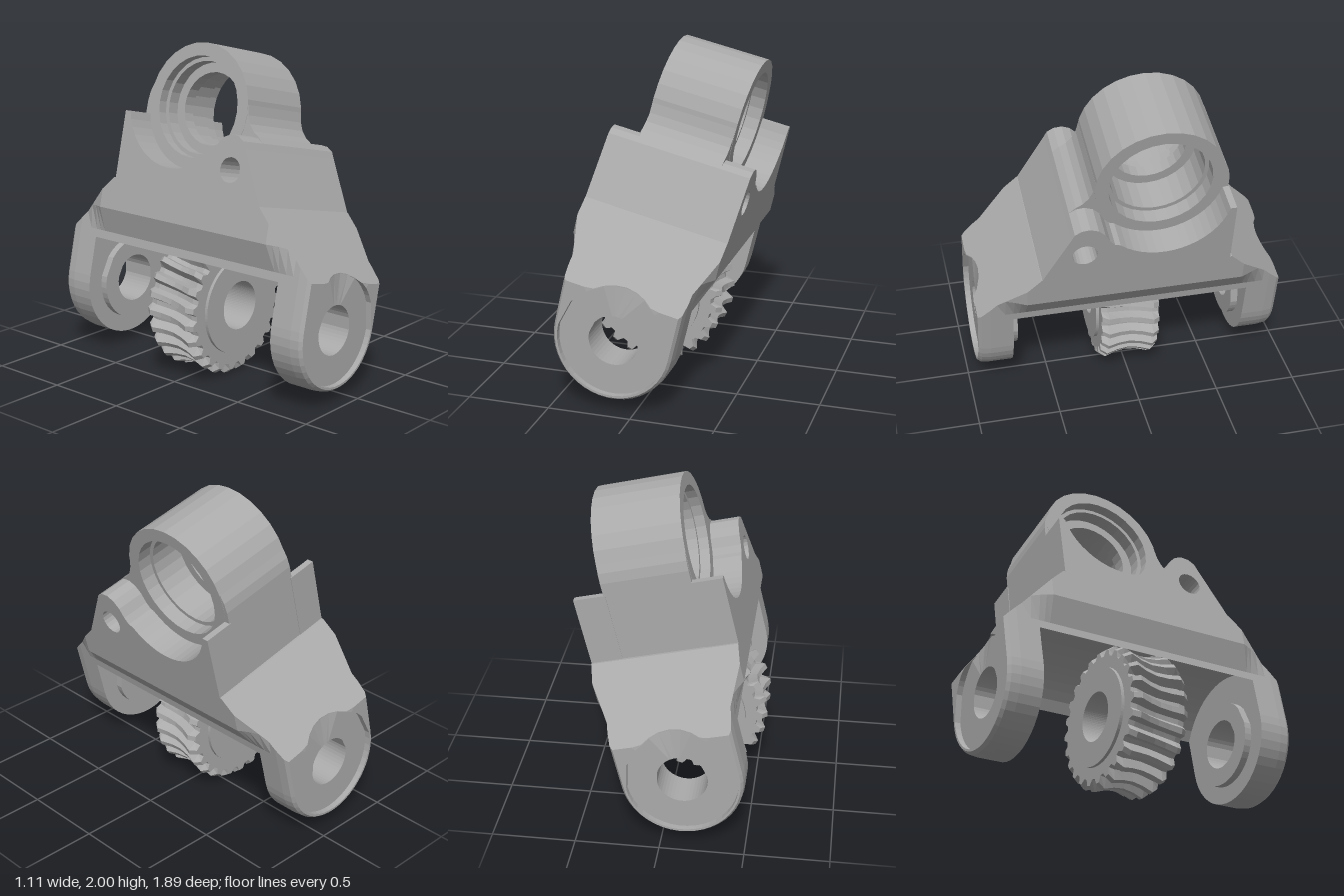
import * as THREE from 'three';

const grey = new THREE.MeshStandardMaterial({ color: 0xaaaaaa });
grey.name = 'metalGrey';

// Mesh with crisp facets
function part(name, geometry) {
  const g = geometry.index ? geometry.toNonIndexed() : geometry;
  g.computeVertexNormals();
  const mesh = new THREE.Mesh(g, grey);
  mesh.name = name;
  return mesh;
}

// Skin over loops of equal point count; counter-clockwise loops advancing to +z face outward
function loft(loops) {
  const n = loops[0].length, index = [];
  for (let i = 0; i < loops.length - 1; i++) {
    for (let j = 0; j < n; j++) {
      const a = i * n + j, b = i * n + (j + 1) % n;
      index.push(a, b, b + n, a, b + n, a + n);
    }
  }
  const g = new THREE.BufferGeometry();
  g.setAttribute('position', new THREE.Float32BufferAttribute(loops.flat(2), 3));
  g.setIndex(index);
  return g;
}

const clamp01 = (t) => Math.min(1, Math.max(0, t));
const scaleTo = ([x, y], r, z) => {
  const k = r / Math.hypot(x, y);
  return [x * k, y * k, z];
};

// Body shape rules: roof height and half width
const roof = (z) => Math.min(0.65, 1.225 - Math.abs(z));
const halfWidth = (y, z) =>
  0.365 + 0.075 * Math.min(clamp01((y - 0.3) / 0.15), clamp01((0.83 - Math.abs(z)) / 0.17));

// Right side, roof and left side of a section, after its bottom edge
function upperOutline(z, startY, inset = 0) {
  const top = roof(z);
  const side = [startY, 0.3, 0.45, top].map((y) => {
    const v = Math.min(y, top);
    return [halfWidth(v, z) - inset, v, z];
  });
  const w = side[3][0], across = [];
  for (let i = 1; i < 12; i++) across.push([w * (1 - i / 6), top, z]);
  return [...side, ...across, ...side.slice().reverse().map(([x, y]) => [-x, y, z])];
}

// Arm section: round bottom, with the roof scalloped by the recess
function armOutline(z, inset = 0) {
  const pts = [], r = 0.365 - inset;
  for (let i = 0; i <= 22; i++) {
    const a = Math.PI * (1 + i / 22);
    pts.push([r * Math.cos(a), r * Math.sin(a), z]);
  }
  pts.push(...upperOutline(z, 0.2, inset));
  return pts.map((p) => {
    if (Math.hypot(p[0], p[1]) >= 0.335) return p;
    const q = scaleTo(p, 0.335, z);
    q[2] = Math.min(z, 1.225 - q[1]);
    return q;
  });
}

function armGeometry() {
  const base = armOutline(0.73), end = armOutline(0.945, 0.022);
  const ring = (r, z) => base.map((p) => scaleTo(p, r, z));
  return loft([
    ring(0.15, 0.685), ring(0.26, 0.685), ring(0.26, 0.73), // inner boss
    base, armOutline(0.78), armOutline(0.83), armOutline(0.87),
    armOutline(0.925, 0.007), end,
    end.map((p) => scaleTo(p, 0.33, p[2])), // recess
    end.map((p) => scaleTo(p, 0.33, Math.min(0.91, p[2]))),
    ring(0.15, 0.91), ring(0.15, 0.685),
  ]);
}

// Bridge section: arched underside clearing the wheel
function bridgeOutline(z) {
  const pts = [];
  for (let i = 0; i <= 16; i++) {
    const x = 0.365 * (i / 8 - 1);
    pts.push([x, Math.sqrt(0.442 ** 2 - x * x), z]);
  }
  return [...pts, ...upperOutline(z, 0.27)];
}

// Profile in (z, y) extruded from x0 to x1
function panel(points, x0, x1, hole) {
  const shape = new THREE.Shape(points.map(([z, y]) => new THREE.Vector2(z, y)));
  if (hole) shape.holes.push(new THREE.Path().absarc(hole[0], hole[1], hole[2], 0, Math.PI * 2, true));
  return new THREE.ExtrudeGeometry(shape, { depth: x1 - x0, bevelEnabled: false, curveSegments: 10 })
    .rotateY(-Math.PI / 2).translate(x1, 0, 0);
}

const RZ = -0.145, RY = 1.153; // collar centre
function collarArc(r, fromDeg, toDeg, steps) {
  const pts = [];
  for (let i = 0; i <= steps; i++) {
    const a = THREE.MathUtils.degToRad(fromDeg + (toDeg - fromDeg) * i / steps);
    pts.push([RZ + r * Math.cos(a), RY + r * Math.sin(a)]);
  }
  return pts;
}

// Worm wheel with throated, slightly helical teeth
function wheelGeometry() {
  const teeth = 24, n = teeth * 4;
  const loop = (z, tip, root) => Array.from({ length: n }, (_, j) => {
    const k = j % 4, t = Math.floor(j / 4) + [0, 0.3, 0.5, 0.8][k];
    const a = t / teeth * Math.PI * 2 + z * 0.35, r = k < 2 ? tip : root;
    return [r * Math.cos(a), r * Math.sin(a), z];
  });
  const ring = (r, z) => loop(z, r, r);
  const stations = [
    [-0.18, 0.405, 0.37], [-0.14, 0.435, 0.375], [-0.07, 0.413, 0.36], [0, 0.404, 0.352],
    [0.07, 0.413, 0.36], [0.14, 0.435, 0.375], [0.18, 0.405, 0.37],
  ];
  return loft([
    ring(0.15, -0.2), ring(0.3, -0.2), ring(0.3, -0.18),
    ...stations.map((s) => loop(...s)),
    ring(0.3, 0.18), ring(0.3, 0.2), ring(0.15, 0.2), ring(0.15, -0.2),
  ]);
}

export function createModel() {
  const model = new THREE.Group();
  model.name = 'wormGearBracket';
  const tilted = new THREE.Group();
  tilted.name = 'tiltedBracket';
  tilted.position.set(-0.125, 0.437, 0);
  tilted.rotation.z = -0.232;
  model.add(tilted);

  // Arched bridge and the two pivot arms
  const stations = [-0.73, -0.695, -0.66, -0.575, 0.575, 0.66, 0.695, 0.73];
  tilted.add(part('bridge', loft(stations.map(bridgeOutline))));
  tilted.add(part('frontArm', armGeometry()));
  tilted.add(part('backArm', armGeometry().rotateY(Math.PI)));

  // Outer cheeks with a drilled lug and a cradle below the collar
  const cheek = [
    [-0.563, 0.645], [0.575, 0.645], [0.41, 0.96], [0.39, 1.0], [0.35, 1.025], [0.3, 1.03],
    [0.25, 1.01], [0.21, 0.97], [0.18, 0.915], [0.15, 0.88],
    ...collarArc(0.385, -47, -167, 16), [-0.56, 1.066],
  ];
  const hole = [0.325, 0.824, 0.075];
  tilted.add(part('leftCheek', panel(cheek, 0.25, 0.44, hole)));
  tilted.add(part('rightCheek', panel(cheek, -0.44, -0.25, hole)));

  // Central web blending into the collar
  const web = [
    [-0.56, 0.645], [0.575, 0.645], [0.41, 0.96], [0.39, 1.0], [0.35, 1.035], [0.31, 1.06],
    [0.275, 1.1], [0.253, 1.15], [0.24, 1.21],
    ...collarArc(0.35, 3, -190, 24), [-0.525, 1.25], [-0.545, 1.2], [-0.555, 1.14],
  ];
  tilted.add(part('web', panel(web, -0.26, 0.26)));

  // Collar with stepped bore
  const bore = [
    [0.31, -0.262], [0.39, -0.262], [0.39, 0.262], [0.31, 0.262], [0.31, 0.17], [0.285, 0.17],
    [0.285, -0.04], [0.225, -0.04], [0.225, -0.12], [0.285, -0.12], [0.285, -0.2],
    [0.31, -0.2], [0.31, -0.262],
  ].map(([r, y]) => new THREE.Vector2(r, y));
  const collar = new THREE.LatheGeometry(bore, 28).rotateZ(-Math.PI / 2).translate(0, RY, RZ);
  tilted.add(part('collar', collar));

  tilted.add(part('wormWheel', wheelGeometry()));
  return model;
}
